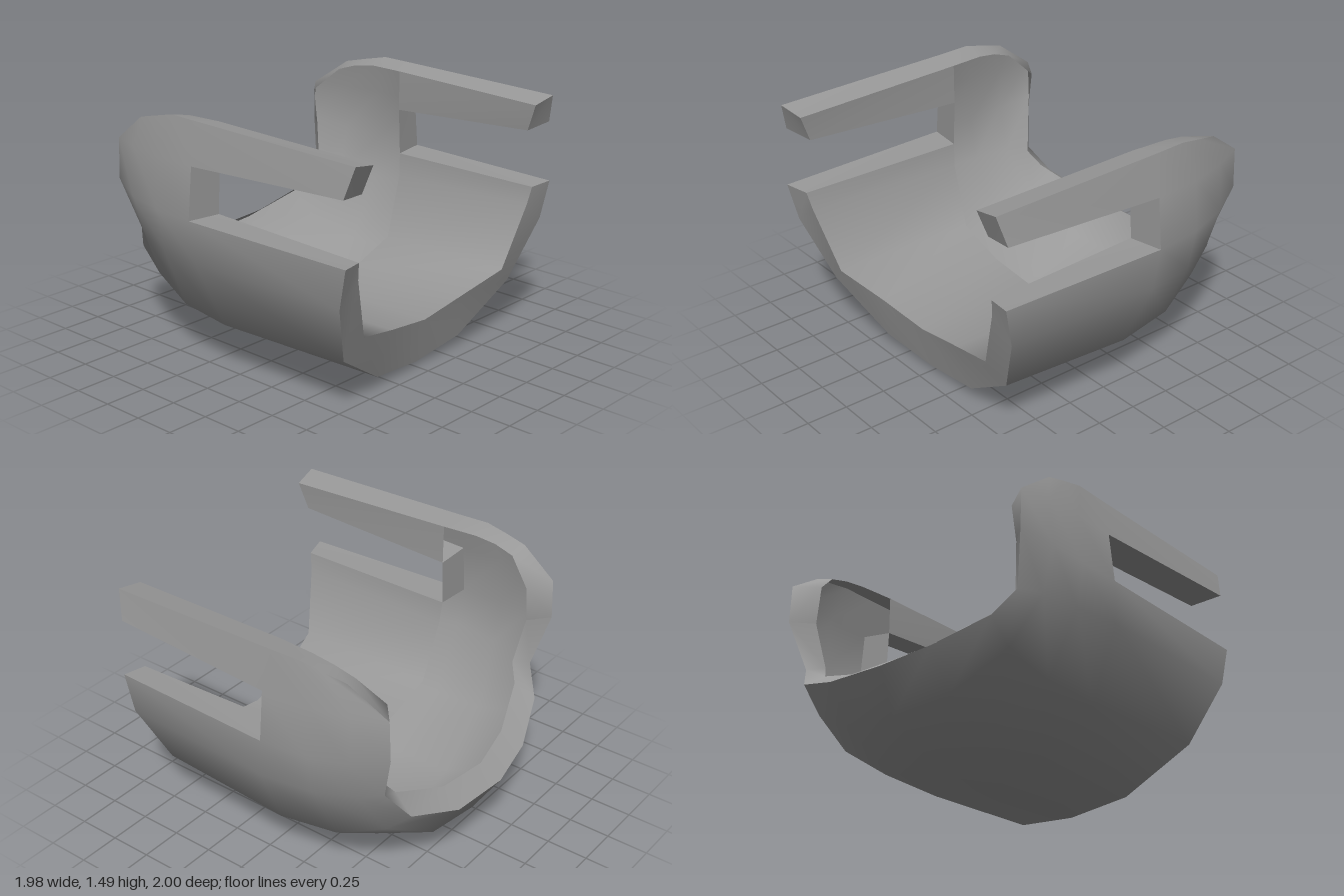
import * as THREE from 'three';

const material = new THREE.MeshStandardMaterial({ color: 0x999999, side: THREE.DoubleSide });

// Cross-sections of the left half, from the keel (index 0) up to the top edge (index 6).
// Index 4 is the lower edge of the side slot, index 5 the upper one.
const outer = [
  [[0, .035, .66], [.38, .08, .68], [.77, .33, .76], [.94, .70, .87], [.955, .935, .92], [.95, 1.29, .90], [.91, 1.46, .945]],
  [[0, .005, -.08], [.38, .06, -.08], [.78, .29, -.1], [.97, .70, -.12], [.99, .945, -.145], [.96, 1.245, -.145], [.915, 1.485, -.145]],
  [[0, .015, -.46], [.37, .07, -.46], [.75, .32, -.45], [.93, .70, -.42], [.975, .95, -.42], [.955, 1.25, -.42], [.915, 1.49, -.34]],
  [[0, .19, -.85], [.36, .23, -.81], [.69, .43, -.72], [.86, .72, -.64], [.94, .98, -.65], [.92, 1.26, -.65], [.905, 1.46, -.48]],
  [[-.04, .42, -1], [.36, .455, -.965], [.68, .57, -.86], [.78, .73, -.76], [.86, 1.03, -.84], [.86, 1.27, -.83], [.89, 1.43, -.61]],
];
// The inner lining covers only the front part, from the mouth to the end of the slot.
const inner = [
  [[0, .31, .72], [.33, .36, .74], [.65, .44, .80], [.79, .82, .87], [.81, .925, .89], [.765, 1.27, .87], [.75, 1.43, .93]],
  [[0, .30, -.08], [.33, .34, -.08], [.64, .44, -.09], [.77, .80, -.11], [.785, .94, -.12], [.77, 1.22, -.12], [.77, 1.46, -.12]],
];
// Free inner edge of the rear rim, and the top edge between lining and rim.
const rearEdge = [[-.02, .505, -.88], [.32, .535, -.84], [.64, .655, -.74], [.705, .75, -.68], [.75, 1.03, -.73], [.72, 1.26, -.73], [.785, 1.4, -.59]];
const topEdge = [[.785, 1.46, -.34], [.79, 1.44, -.47]];

const mirror = ([x, y, z]) => [-x, y, z];
const full = ([keel, ...half]) => [...half.map(mirror).reverse(), keel, ...half];

// The body is slightly skewed from side to side, and its rear leans to the right.
const skew = ([x, y, z]) => [
  x + 0.08 * Math.min(0, z + 0.3),
  y,
  z - x * (0.015 + 0.05 * Math.abs(z)),
];

// Smooth surface through rows of points.
function patch(name, rows, flip = false, skip = () => false) {
  const n = rows[0].length;
  const index = [];
  for (let s = 0; s < rows.length - 1; s++) {
    for (let k = 0; k < n - 1; k++) {
      if (skip(s, k)) continue;
      const a = s * n + k, b = a + 1, c = a + n, d = c + 1;
      if (flip) index.push(a, c, b, b, c, d);
      else index.push(a, b, c, b, d, c);
    }
  }
  const geometry = new THREE.BufferGeometry();
  geometry.setAttribute('position', new THREE.Float32BufferAttribute(rows.flat().flatMap(skew), 3));
  geometry.setIndex(index);
  geometry.computeVertexNormals();
  const mesh = new THREE.Mesh(geometry, material);
  mesh.name = name;
  return mesh;
}

export function createModel() {
  const model = new THREE.Group();
  model.name = 'openCradleShell';

  // Cells 1 and 10 of the first strip are the open side slots
  const slot = (s, k) => s === 0 && (k === 1 || k === 10);
  model.add(patch('outerShell', outer.map(full), true, slot));
  model.add(patch('innerLining', inner.map(full), false, slot));

  // Front lip and overhanging lower part of the rear rim
  model.add(patch('frontLip', [full(outer[0].slice(0, 5)), full(inner[0].slice(0, 5))]));
  model.add(patch('rearRim', [full(outer[4].slice(0, 5)), full(rearEdge.slice(0, 5))], true));

  // Edge faces of the arms and slots on each side
  for (const side of [1, -1]) {
    const group = new THREE.Group();
    group.name = side > 0 ? 'leftArmEdges' : 'rightArmEdges';
    const strip = (name, out, inn, flip) => {
      const rows = [out, inn].map((row) => (side > 0 ? row : row.map(mirror)));
      group.add(patch(name, rows, side > 0 ? flip : !flip));
    };
    const along = (sections, k) => sections.map((section) => section[k]);
    strip('topEdge',
      [...along(outer, 6), outer[4][5], outer[4][4]],
      [...along(inner, 6), ...topEdge, rearEdge[6], rearEdge[5], rearEdge[4]], true);
    strip('upperArmUnderside', along(outer.slice(0, 2), 5), along(inner, 5), false);
    strip('lowerArmTop', along(outer.slice(0, 2), 4), along(inner, 4), true);
    strip('slotEnd', outer[1].slice(4, 6), inner[1].slice(4, 6), false);
    strip('upperArmTip', outer[0].slice(5, 7), inner[0].slice(5, 7), false);
    model.add(group);
  }
  return model;
}
